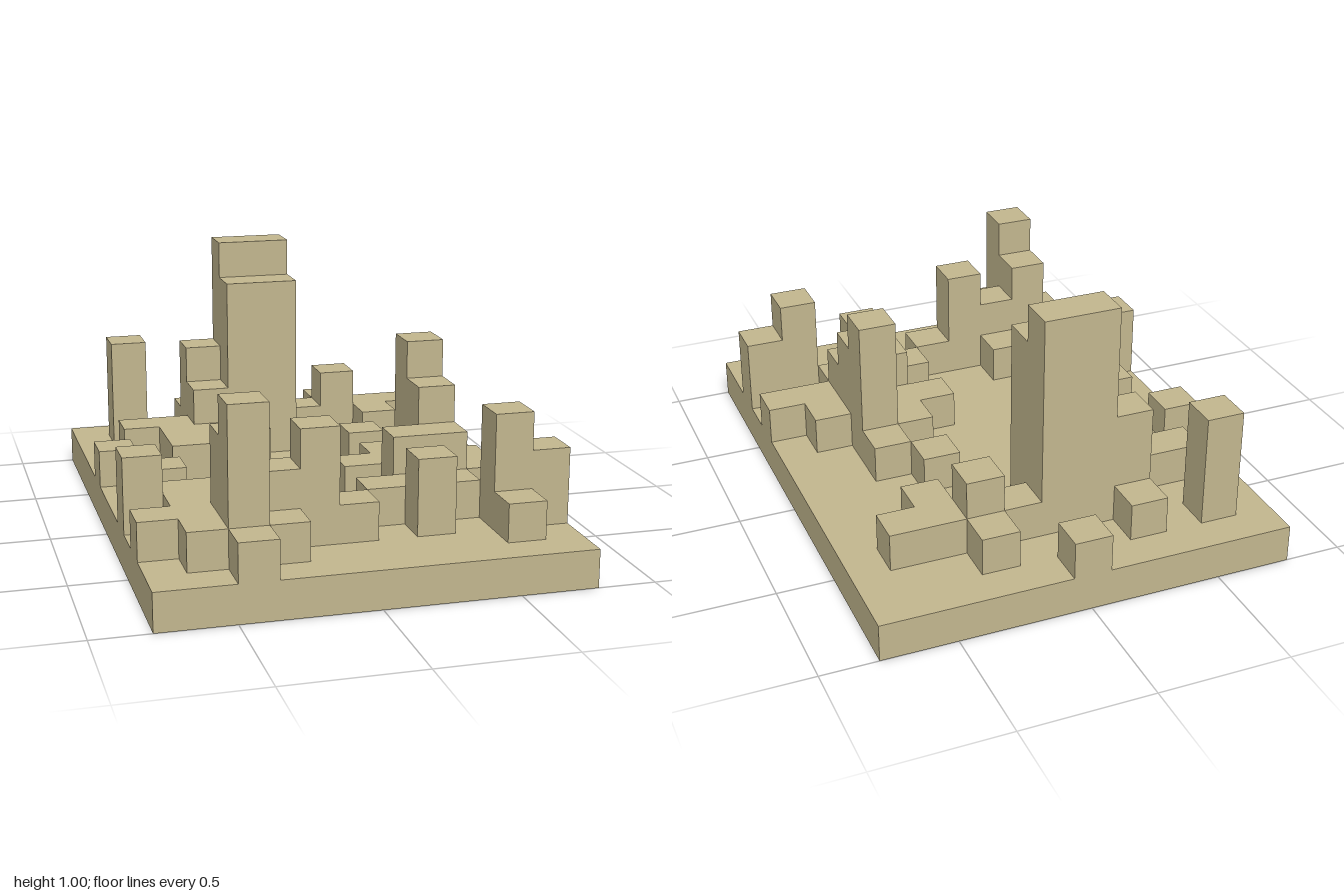
import * as THREE from 'three';

const U = 1 / 7;            // edge of one cube
const NX = 11, NZ = 14;     // cells across and deep
const px = (i) => (i - NX / 2) * U;
const pz = (j) => (j - NZ / 2) * U;

// Blocks of each building: [column, row, width, depth, height in cubes]
const BUILDINGS = {
  greatTower: [
    [4, 2, 2, 1, 7], [4, 3, 2, 1, 6], [3, 2, 1, 1, 4], [3, 3, 1, 1, 3], [3, 1, 1, 1, 2],
    [6, 2, 1, 1, 2], [7, 2, 1, 1, 3], [7, 1, 1, 1, 2], [8, 2, 2, 1, 2], [8, 3, 1, 1, 2],
    [1, 3, 2, 1, 2], [2, 4, 3, 1, 2], [2, 5, 2, 1, 2],
  ],
  backPillar: [[1, 1, 1, 1, 4]],
  backBlock: [[5, 0, 1, 1, 2]],
  looseBlocks: [[0, 5, 1, 1, 2], [1, 7, 1, 1, 2], [3, 7, 1, 1, 2], [7, 5, 1, 1, 2]],
  leftKeep: [
    [8, 6, 1, 1, 2], [8, 7, 1, 1, 5], [8, 8, 1, 1, 4], [7, 7, 1, 2, 2], [6, 8, 1, 1, 2],
    [7, 9, 2, 1, 3], [6, 10, 3, 1, 2], [9, 8, 1, 2, 2], [10, 9, 1, 1, 2],
  ],
  frontPillar: [[7, 11, 1, 1, 3]],
  frontLeftHouse: [[9, 11, 1, 1, 4], [10, 11, 1, 1, 3], [9, 12, 1, 1, 2]],
  rightKeep: [
    [0, 9, 1, 1, 3], [1, 9, 2, 1, 2], [1, 10, 3, 1, 2], [0, 11, 2, 1, 2], [1, 12, 1, 1, 2],
    [2, 11, 1, 1, 4], [3, 11, 1, 1, 3], [4, 11, 1, 1, 4], [5, 11, 1, 1, 2],
    [2, 12, 1, 1, 5], [3, 12, 1, 1, 2], [2, 13, 1, 1, 2],
  ],
};

// Paint all blocks into one grid of heights and owners
function makeGrid() {
  const grid = Array.from({ length: NX }, () =>
    Array.from({ length: NZ }, () => ({ h: 1, owner: 'ground' })));
  for (const [owner, blocks] of Object.entries(BUILDINGS))
    for (const [i, j, w, d, h] of blocks)
      for (let a = i; a < i + w; a++)
        for (let b = j; b < j + d; b++) grid[a][b] = { h, owner };
  return grid;
}

// Exposed roofs and walls of every cell with the given owner
function cellsGeometry(grid, owner) {
  const pos = [];
  const quad = (a, b, c, d) => pos.push(...a, ...b, ...c, ...a, ...c, ...d);
  for (let i = 0; i < NX; i++) for (let j = 0; j < NZ; j++) {
    const cell = grid[i][j];
    if (cell.owner !== owner) continue;
    const x0 = px(i), x1 = px(i + 1), z0 = pz(j), z1 = pz(j + 1), top = cell.h * U;
    quad([x0, top, z1], [x1, top, z1], [x1, top, z0], [x0, top, z0]);
    const walls = [
      [1, 0, x1, z1, x1, z0], [-1, 0, x0, z0, x0, z1],
      [0, 1, x0, z1, x1, z1], [0, -1, x1, z0, x0, z0],
    ];
    for (const [di, dj, ax, az, bx, bz] of walls) {
      const next = grid[i + di]?.[j + dj];
      const low = (next ? next.h : 0) * U;
      if (low < top) quad([ax, low, az], [bx, low, bz], [bx, top, bz], [ax, top, az]);
    }
  }
  const g = new THREE.BufferGeometry();
  g.setAttribute('position', new THREE.Float32BufferAttribute(pos, 3));
  g.computeVertexNormals();
  return g;
}

// Thin plate with cut corners, covering w by d cells of the underside
function footGeometry(w, d) {
  const x = w * U / 2, y = d * U / 2, c = U * 0.25;
  const s = new THREE.Shape([
    [-x + c, -y], [x - c, -y], [x, -y + c], [x, y - c],
    [x - c, y], [-x + c, y], [-x, y - c], [-x, -y + c],
  ].map(([a, b]) => new THREE.Vector2(a, b)));
  return new THREE.ExtrudeGeometry(s, { depth: 0.004, bevelEnabled: false }).rotateX(Math.PI / 2);
}

export function createModel() {
  const model = new THREE.Group();
  const sand = new THREE.MeshStandardMaterial({ color: 0xc2b68e });
  sand.name = 'sand';
  const brown = new THREE.MeshStandardMaterial({ color: 0x8b5a2b });
  brown.name = 'brown';
  const add = (name, geometry, material, x = 0, y = 0, z = 0) => {
    const mesh = new THREE.Mesh(geometry, material);
    mesh.name = name;
    mesh.position.set(x, y, z);
    model.add(mesh);
  };

  // Ground slab and its underside
  const grid = makeGrid();
  add('ground', cellsGeometry(grid, 'ground'), sand);
  add('underside', new THREE.PlaneGeometry(NX * U, NZ * U).rotateX(Math.PI / 2), sand, 0, 0.002, 0);

  // Buildings
  for (const name of Object.keys(BUILDINGS)) add(name, cellsGeometry(grid, name), sand);

  // Brown patches underneath: [column, row, width, depth]
  for (const [i, j, w, d] of [[4, 3, 1, 1], [7, 8, 1, 2], [1, 11, 1, 1]])
    add('undersidePatch', footGeometry(w, d), brown, px(i + w / 2), 0.004, pz(j + d / 2));

  return model;
}
